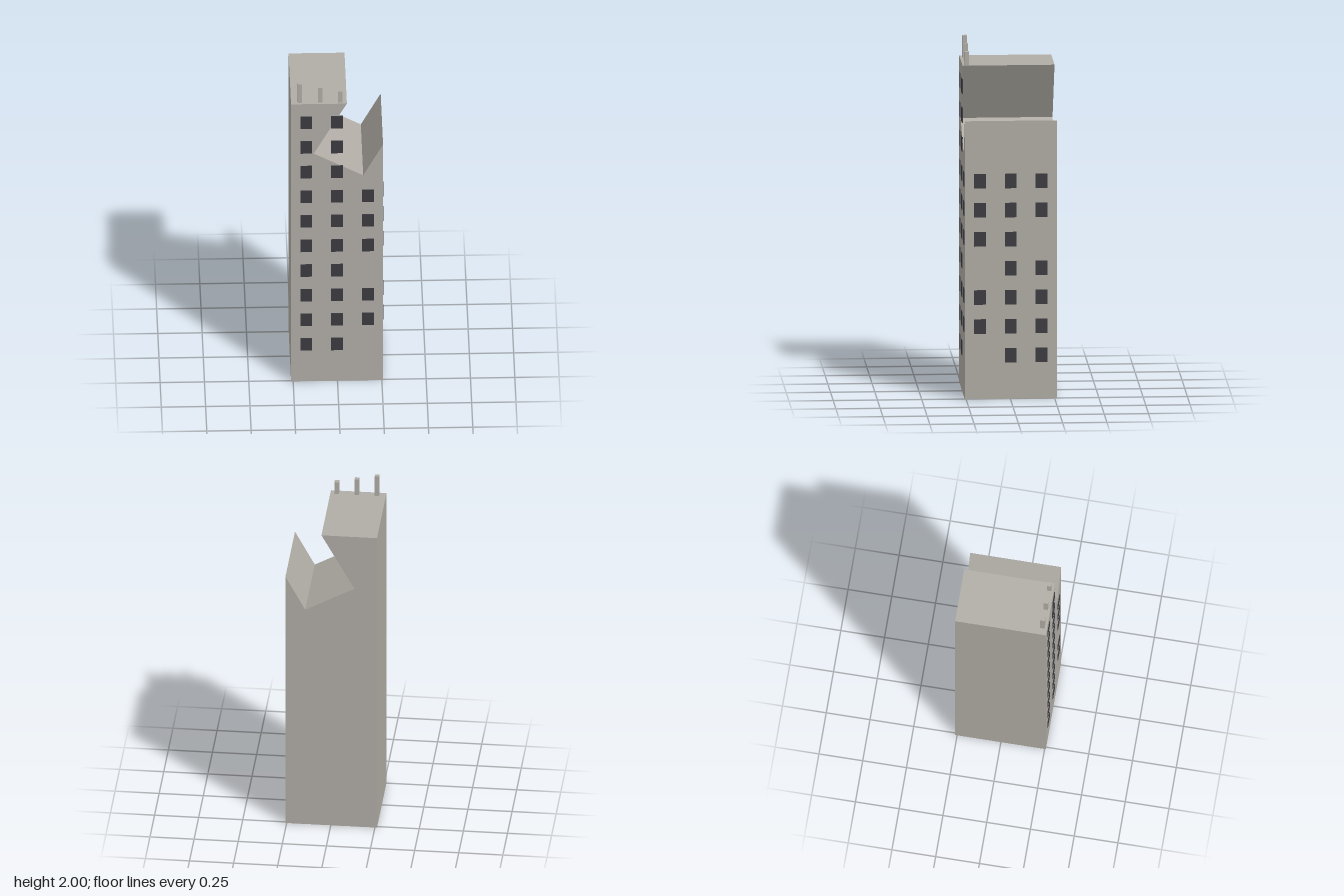
import * as THREE from 'three';

export function createModel() {
  const group = new THREE.Group();
  const concrete = new THREE.MeshStandardMaterial({ color: 0xb0aca5 });
  concrete.name = 'concrete';
  const glass = new THREE.MeshStandardMaterial({ color: 0x3a3a40 });
  glass.name = 'darkGlass';

  const LOW = -0.262, HIGH = 0.257, ROOF = 1.875;

  function addBox(name, size, position, material, parent = group) {
    const mesh = new THREE.Mesh(new THREE.BoxGeometry(...size), material);
    mesh.name = name;
    mesh.position.set(...position);
    parent.add(mesh);
  }

  // Tower block with a broken notch running front to back
  const outline = [
    [LOW, 0], [HIGH, 0], [HIGH, 1.595], [0.145, 1.388],
    [-0.134, 1.54], [0.053, ROOF], [LOW, ROOF],
  ].map(([x, y]) => new THREE.Vector2(x, y));
  const towerGeometry = new THREE.ExtrudeGeometry(new THREE.Shape(outline), {
    depth: HIGH - LOW, bevelEnabled: false,
  });
  towerGeometry.translate(0, 0, LOW);
  const tower = new THREE.Mesh(towerGeometry, concrete);
  tower.name = 'tower';
  group.add(tower);

  // Windows: one string per floor from the bottom, marking the filled columns
  const columns = [-0.176, -0.002, 0.171];
  const frontFloors = ['110', '111', '111', '110', '111', '111', '111', '110', '110', '110'];
  const sideFloors = ['110', '111', '111', '110', '011', '111', '111']; // back to front

  function addWindows(name, floors, onSide) {
    const windows = new THREE.Group();
    windows.name = name;
    floors.forEach((floor, row) => {
      columns.forEach((c, i) => {
        if (floor[i] !== '1') return;
        const y = 0.25 + row / 6;
        if (onSide) addBox('window', [0.006, 0.083, 0.067], [HIGH, y, c], glass, windows);
        else addBox('window', [0.067, 0.083, 0.006], [c, y, HIGH], glass, windows);
      });
    });
    group.add(windows);
  }
  addWindows('frontWindows', frontFloors, false);
  addWindows('sideWindows', sideFloors, true);

  // Bare reinforcement posts along the front edge of the roof
  [[-0.211, 2], [-0.097, 1.975], [0.017, 1.95]].forEach(([x, top]) => {
    const height = top - ROOF;
    addBox('roofPost', [0.025, height, 0.025], [x, ROOF + height / 2, 0.231], concrete);
  });

  return group;
}
